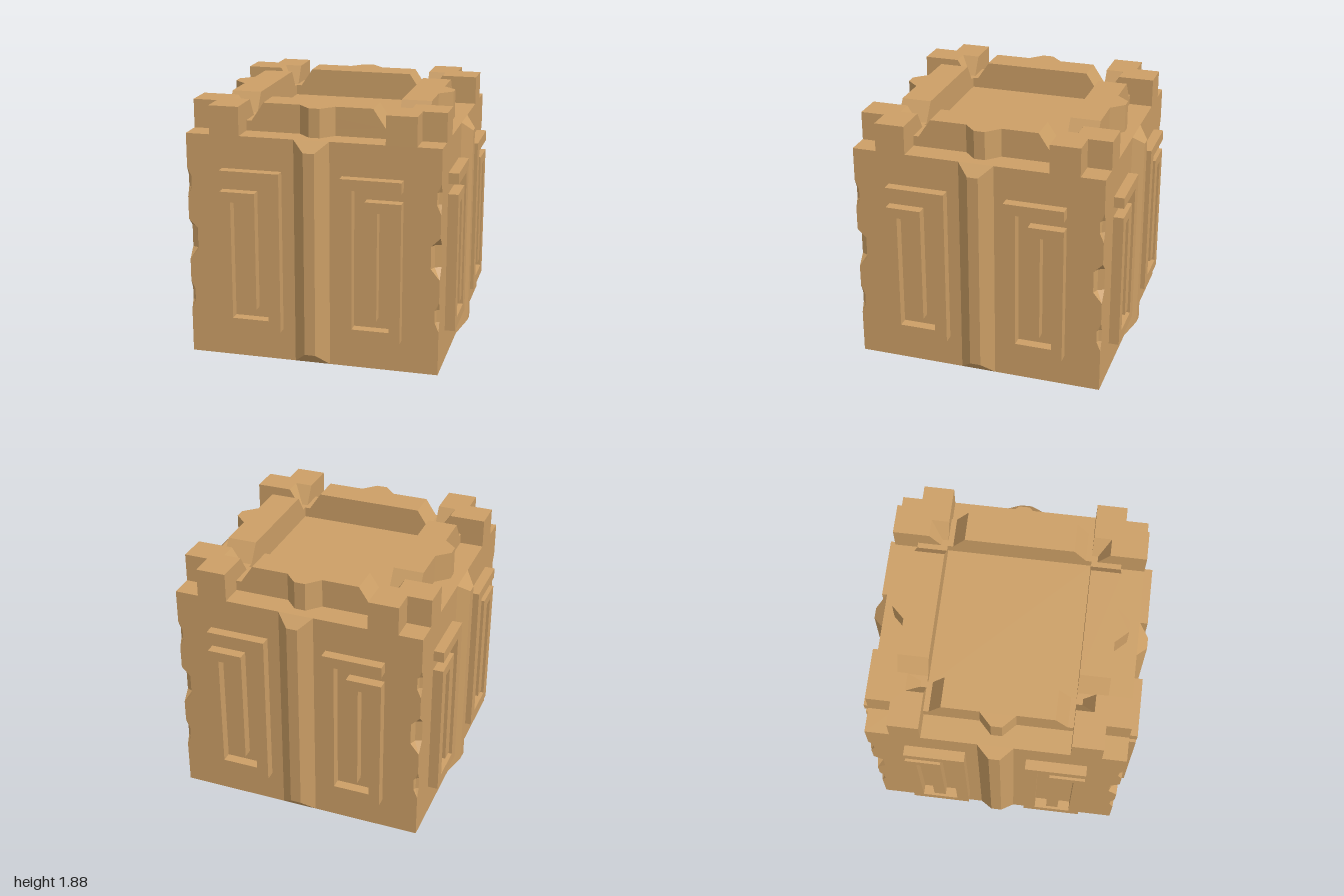
import * as THREE from 'three';

const FACE = 0.925, DECK = 1.67, NOTCH = 1.745, TOP = 1.88;
const stone = new THREE.MeshStandardMaterial({ color: 0xcc9f66, flatShading: true });

// Solid through horizontal rings [{ y, pts: [[x, z], ...] }], listed upwards, with flat caps
function loft(rings) {
  const widest = rings[Math.floor(rings.length / 2)].pts.map(([x, z]) => new THREE.Vector2(x, -z));
  const flip = THREE.ShapeUtils.area(widest) < 0;
  const rows = rings.map(({ y, pts }) => {
    const row = pts.map(([x, z]) => new THREE.Vector3(x, y, z));
    return flip ? row.reverse() : row;
  });
  const pos = [];
  const tri = (a, b, c) => {
    const area = b.clone().sub(a).cross(c.clone().sub(a)).length();
    if (area > 1e-7) for (const p of [a, b, c]) pos.push(p.x, p.y, p.z);
  };
  for (let k = 0; k + 1 < rows.length; k++) {
    const lo = rows[k], hi = rows[k + 1], n = lo.length;
    for (let i = 0; i < n; i++) {
      const j = (i + 1) % n;
      tri(lo[i], lo[j], hi[j]);
      tri(lo[i], hi[j], hi[i]);
    }
  }
  const cap = (row, up) => {
    const flat = row.map(p => new THREE.Vector2(p.x, -p.z));
    for (const [a, b, c] of THREE.ShapeUtils.triangulateShape(flat, [])) {
      if (up) tri(row[a], row[b], row[c]);
      else tri(row[a], row[c], row[b]);
    }
  };
  cap(rows[0], false);
  cap(rows[rows.length - 1], true);
  const geo = new THREE.BufferGeometry();
  geo.setAttribute('position', new THREE.Float32BufferAttribute(pos, 3));
  geo.computeVertexNormals();
  return geo;
}

function extrude(points, depth, z) {
  const shape = new THREE.Shape(points.map(([x, y]) => new THREE.Vector2(x, y)));
  return new THREE.ExtrudeGeometry(shape, { depth, bevelEnabled: false }).translate(0, 0, z);
}

// Block whose four upright edges are chipped: each corner is three points that part at a chip
function blockGeometry() {
  const ring = (y, cut, deep) => {
    const a = FACE - cut, g = FACE - deep, pts = [];
    for (let k = 0; k < 4; k++) {
      const c = [1, 0, -1, 0][k], s = [0, 1, 0, -1][k];
      for (const [x, z] of [[a, FACE], [g, g], [FACE, a]]) pts.push([x * c + z * s, z * c - x * s]);
    }
    return { y, pts };
  };
  const rings = [ring(0, 0, 0)];
  const chips = [
    [0.33, 0.4, 0.49, 0.555, 0.03, 0.02],
    [0.72, 0.8, 0.965, 1.03, 0.065, 0.045],
    [1.2, 1.27, 1.355, 1.42, 0.03, 0.02],
  ];
  for (const [y0, y1, y2, y3, cut, deep] of chips)
    rings.push(ring(y0, 0, 0), ring(y1, cut, deep), ring(y2, cut, deep), ring(y3, 0, 0));
  rings.push(ring(DECK, 0, 0));
  return loft(rings);
}

// Square spiral, mirrored by s
function spiralGeometry(s) {
  const path = [
    [0.66, 1.43], [0.22, 1.43], [0.22, 0.24], [0.66, 0.24], [0.66, 1.275], [0.4, 1.275], [0.4, 0.4],
    [0.49, 0.4], [0.49, 1.2], [0.58, 1.2], [0.58, 0.32], [0.31, 0.32], [0.31, 1.35], [0.66, 1.35],
  ];
  return extrude(path.map(([x, y]) => [x * s, y]), 0.075, FACE);
}

// Upright rib with sloped sides and ends
function ribGeometry() {
  const base = [[-0.13, FACE], [0.13, FACE], [0.13, FACE], [-0.13, FACE]];
  const full = [[-0.13, FACE], [0.13, FACE], [0.04, 1], [-0.04, 1]];
  return loft([
    { y: 0, pts: base }, { y: 0.085, pts: full },
    { y: 1.595, pts: full }, { y: DECK, pts: base },
  ]);
}

// Parapet between two towers, with sloped ends
function parapetGeometry() {
  return extrude([
    [-0.53, DECK], [0.53, DECK], [0.53, NOTCH], [0.49, NOTCH], [0.4, TOP],
    [-0.4, TOP], [-0.49, NOTCH], [-0.53, NOTCH],
  ], 0.22, 0.53);
}

function buttressGeometry() {
  const pts = [[-0.13, 0.75], [0.13, 0.75], [0.04, 0.845], [-0.04, 0.845]];
  return loft([{ y: DECK, pts }, { y: TOP, pts }]);
}

// Corner tower: stepped outside, with a flared cut n at its inner corner
const outerSteps = [[0.53, FACE], [0.75, FACE], [0.75, 0.75], [FACE, 0.75], [FACE, 0.53]];
const towerRing = (y, n) => ({ y, pts: [...outerSteps, [n, 0.53], [n, n], [0.53, n]] });
function towerBaseGeometry() {
  const pts = [...outerSteps, [0.53, 0.53]];
  return loft([{ y: DECK, pts }, { y: NOTCH, pts }]);
}

export function createModel() {
  const model = new THREE.Group();
  model.name = 'carvedBlock';
  const add = (parent, name, geo) => {
    const mesh = new THREE.Mesh(geo, stone);
    mesh.name = name;
    parent.add(mesh);
  };
  add(model, 'block', blockGeometry());

  // One side with its corner, repeated by quarter turns
  const parts = {
    leftSpiral: spiralGeometry(1),
    rightSpiral: spiralGeometry(-1),
    rib: ribGeometry(),
    parapet: parapetGeometry(),
    buttress: buttressGeometry(),
    towerBase: towerBaseGeometry(),
    towerTop: loft([towerRing(NOTCH, 0.575), towerRing(TOP, 0.66)]),
  };
  ['front', 'left', 'back', 'right'].forEach((label, k) => {
    const side = new THREE.Group();
    side.name = label + 'Side';
    side.rotation.y = k * Math.PI / 2;
    for (const [name, geo] of Object.entries(parts)) add(side, name, geo);
    model.add(side);
  });
  return model;
}
